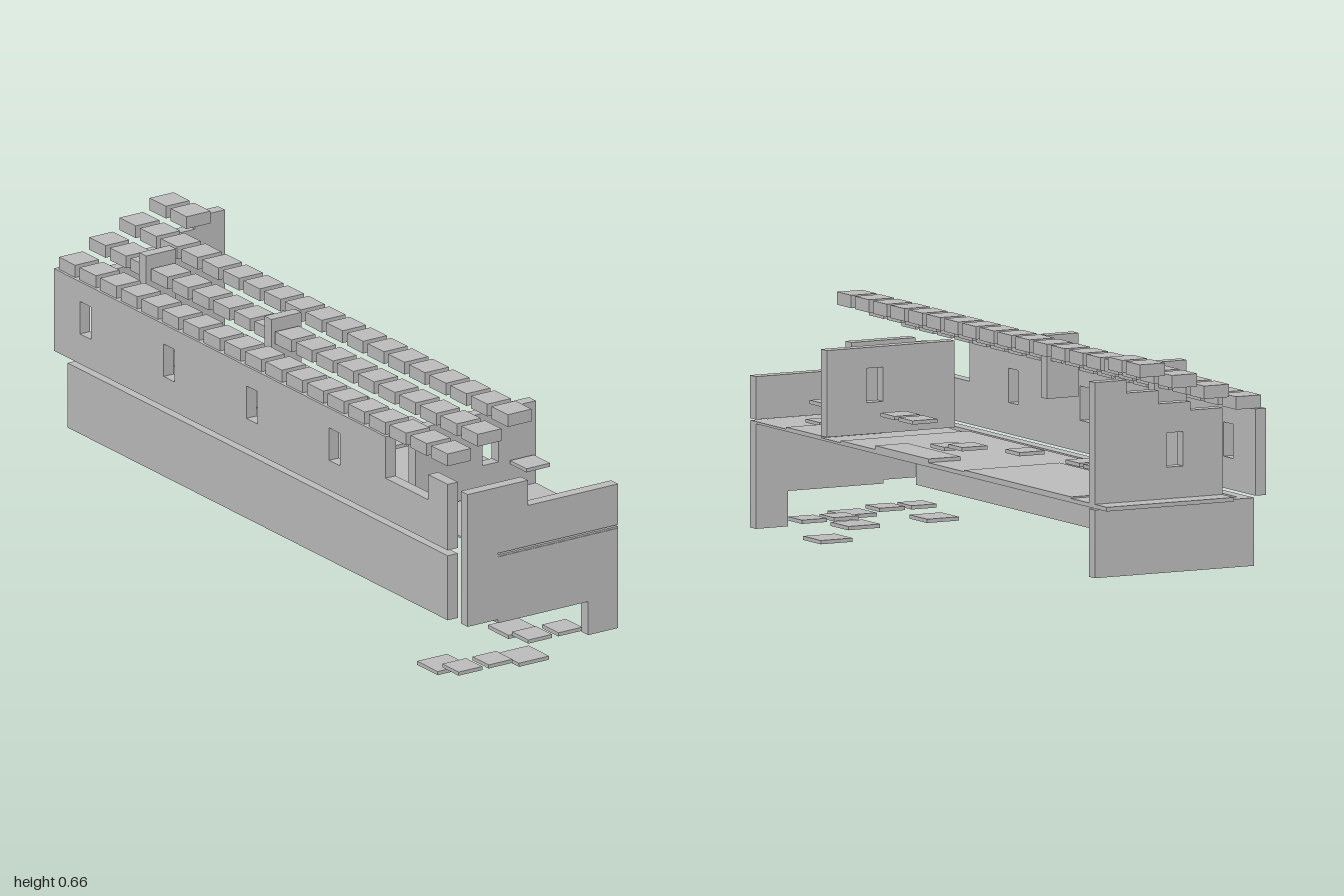
import * as THREE from 'three';

export function createModel() {
  const model = new THREE.Group();
  model.name = 'ruinedHall';
  const stone = new THREE.MeshStandardMaterial({ color: 0xbcbcbc });
  stone.name = 'grey stone';

  function add(name, geometry) {
    const mesh = new THREE.Mesh(geometry, stone);
    mesh.name = name;
    model.add(mesh);
    return mesh;
  }
  // Box given by its limits on each axis
  function block(name, x0, x1, y0, y1, z0, z1) {
    const g = new THREE.BoxGeometry(x1 - x0, y1 - y0, z1 - z0);
    g.translate((x0 + x1) / 2, (y0 + y1) / 2, (z0 + z1) / 2);
    return add(name, g);
  }
  // Upright slab from an outline, with rectangular windows centred on u
  function slab(outline, windows = []) {
    const shape = new THREE.Shape(outline.map(([u, y]) => new THREE.Vector2(u, y)));
    for (const u of windows) {
      const pts = [[u - 0.025, 0.38], [u - 0.025, 0.47], [u + 0.025, 0.47], [u + 0.025, 0.38]];
      shape.holes.push(new THREE.Path(pts.map(([a, b]) => new THREE.Vector2(a, b))));
    }
    return new THREE.ExtrudeGeometry(shape, { depth: 0.032, bevelEnabled: false });
  }
  // Wall facing the front, starting at depth z
  const crossWall = (name, z, outline, windows) =>
    add(name, slab(outline, windows).translate(0, 0, z));

  // Long side wall: plain base, and a windowed upper storey with a broken end
  block('sideWallBase', -0.19, -0.158, 0.103, 0.282, -0.935, 0.81);
  const side = slab(
    [[-1, 0.297], [0.81, 0.297], [0.81, 0.48], [0.72, 0.48], [0.72, 0.41],
      [0.525, 0.41], [0.525, 0.525], [-1, 0.525]],
    [0.29, -0.09, -0.47, -0.855]);
  side.rotateY(-Math.PI / 2).translate(-0.158, 0, 0);
  add('sideWallUpper', side);

  // Front wall with a leg and a slot that takes the floor
  crossWall('frontWall', 0.87, [
    [-0.19, 0.113], [-0.095, 0.113], [-0.095, 0.103], [0.19, 0.103], [0.19, 0.01],
    [0.285, 0.01], [0.285, 0.287], [-0.095, 0.287], [-0.095, 0.297], [0.285, 0.297],
    [0.285, 0.41], [0, 0.41], [0, 0.48], [-0.19, 0.48]]);

  // Inner partition
  crossWall('partition', 0.492,
    [[-0.095, 0.297], [0.285, 0.297], [0.285, 0.525], [-0.095, 0.525]], [0.142]);

  // Back wall: base and stepped gable
  block('backWallBase', -0.19, 0.285, 0.103, 0.282, -0.937, -0.905);
  crossWall('backWallUpper', -0.937, [
    [-0.095, 0.297], [0.285, 0.297], [0.285, 0.617], [0.19, 0.617], [0.19, 0.583],
    [0.095, 0.583], [0.095, 0.548], [0, 0.548], [0, 0.525], [-0.095, 0.525]], [0.047]);

  // Hanging roof supports
  for (const z of [-0.155, -0.73]) block('roofSupport', -0.095, 0, 0.46, 0.627, z - 0.016, z + 0.016);

  // Floor and raised floor plates
  block('floor', -0.095, 0.285, 0.286, 0.292, -1, 0.9);
  block('floorOverlay', -0.095, 0.285, 0.292, 0.297, -1, 0.42);
  block('floorPlate', 0, 0.285, 0.297, 0.301, -0.81, -0.24);
  block('floorPlate', 0.19, 0.285, 0.297, 0.307, -0.05, 0.235);
  block('floorPlate', 0.095, 0.285, 0.292, 0.297, 0.52, 0.71);

  // Roof tiles in climbing rows; only two remain in the highest row
  const h = 0.0375;
  [19, 19, 19, 2].forEach((count, row) => {
    const x = -0.145 + row * 0.0955;
    const y = 0.525 + row * 0.0345;
    for (let i = 0; i < count; i++) {
      const z = -0.95 + i * 0.095;
      block('roofTile', x - h, x + h, y, y + 0.034, z - h, z + h);
    }
  });

  // Loose tiles: x, base height, z
  const loose = [
    [0.235, 0.37, 0.57], [0.235, 0.383, 0.19], [0.235, 0.383, 0.095], [0.235, 0.37, -0.475],
    [0.14, 0.307, 0.095], [0.14, 0.318, 0], [0.14, 0.29, 0.76],
    [-0.05, 0.299, -0.285], [-0.05, 0.299, -0.38], [-0.05, 0.299, -0.57], [-0.05, 0.299, -0.665],
    [0.045, 0.022, 0.855], [0.14, 0.022, 0.855], [-0.24, 0.022, 0.95], [-0.145, 0.022, 0.95],
  ];
  for (const [x, y, z] of loose) block('looseTile', x - h, x + h, y, y + 0.01, z - h, z + h);

  // Larger slabs lying on the ground: x, base height, z
  const fallen = [[-0.239, 0, 0.857], [-0.0475, 0.012, 0.952], [0.0475, 0.012, 0.765], [0.2375, 0.012, 0.572]];
  for (const [x, y, z] of fallen) block('fallenSlab', x - 0.0475, x + 0.0475, y, y + 0.01, z - 0.0475, z + 0.0475);

  return model;
}
